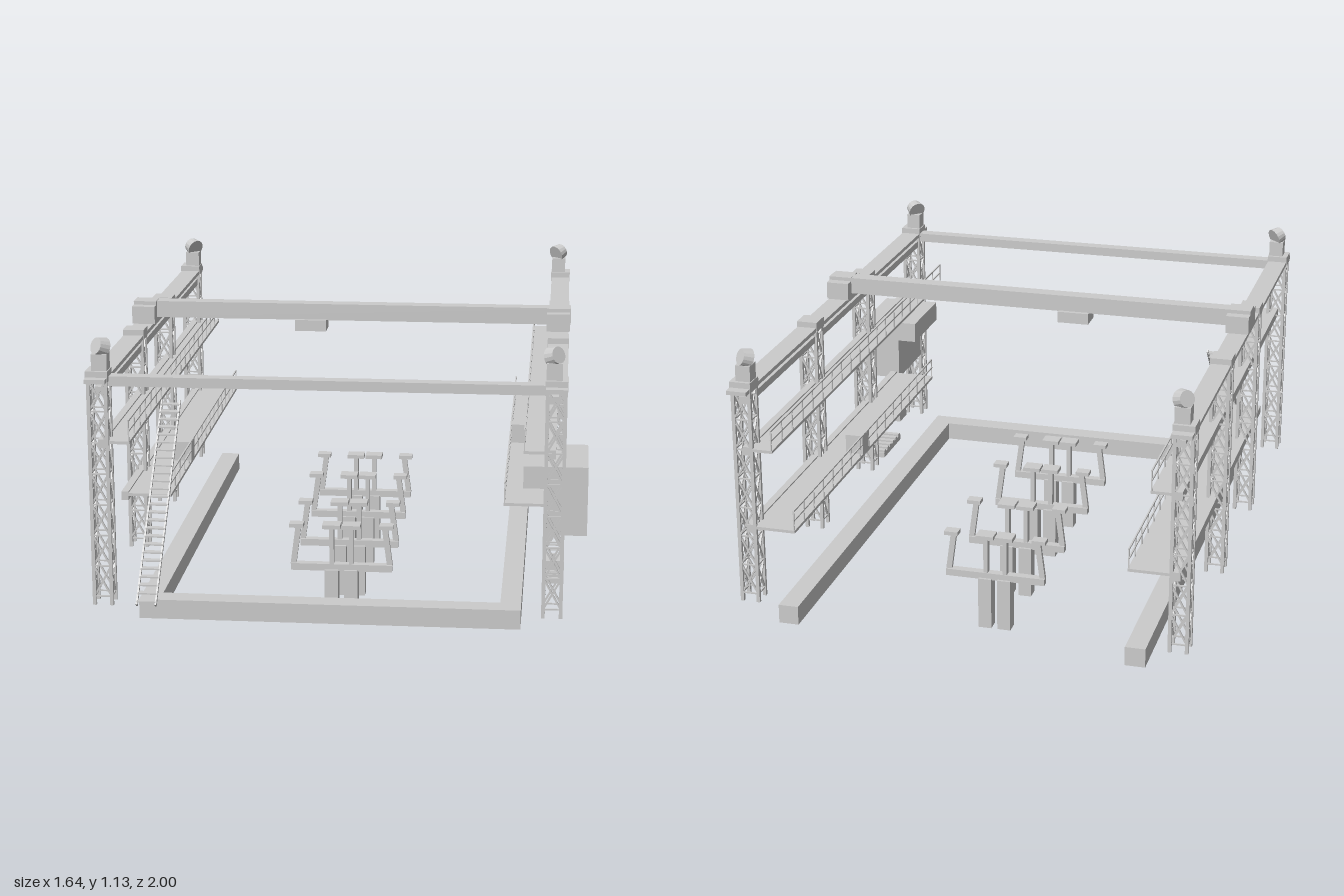
import * as THREE from 'three';

const mat = new THREE.MeshStandardMaterial({ color: 0xcccccc, flatShading: true });
const MID = -0.035; // symmetry plane of the gantry

// Box given by its min/max extents
function box(parent, name, x0, x1, y0, y1, z0, z1) {
  const m = new THREE.Mesh(new THREE.BoxGeometry(Math.abs(x1 - x0), y1 - y0, Math.abs(z1 - z0)), mat);
  m.position.set((x0 + x1) / 2, (y0 + y1) / 2, (z0 + z1) / 2);
  m.name = name;
  parent.add(m);
  return m;
}

// Square bar between two points
function bar(parent, name, a, b, w, d = w) {
  const p = new THREE.Vector3(...a), q = new THREE.Vector3(...b);
  const m = new THREE.Mesh(new THREE.BoxGeometry(w, d, p.distanceTo(q)), mat);
  m.position.copy(p).add(q).multiplyScalar(0.5);
  m.lookAt(q);
  m.name = name;
  parent.add(m);
  return m;
}

function group(parent, name) {
  const g = new THREE.Group();
  g.name = name;
  parent.add(g);
  return g;
}

// Four-legged lattice tower with cross bracing
function tower(parent, x, z) {
  const g = group(parent, 'latticeTower');
  g.position.set(x, 0, z);
  const r = 0.029, y0 = 0.217, y1 = 0.99, bays = 7, h = (y1 - y0 - 0.03) / bays;
  const c = [[-r, -r], [r, -r], [r, r], [-r, r]];
  c.forEach(([ax, az], i) => {
    const [bx, bz] = c[(i + 1) % 4];
    box(g, 'towerLeg', ax - 0.006, ax + 0.006, y0, y1, az - 0.006, az + 0.006);
    for (let k = 0; k < bays; k++) {
      const a = y0 + 0.03 + k * h, b = a + h;
      bar(g, 'brace', [ax, a, az], [bx, b, bz], 0.006);
      bar(g, 'brace', [ax, b, az], [bx, a, bz], 0.006);
      bar(g, 'strut', [ax, a, az], [bx, a, bz], 0.005);
    }
  });
  box(g, 'towerCap', -0.037, 0.037, 0.985, 1.02, -0.038, 0.038);
}

// Floodlight facing the middle of the yard
function floodlight(parent, x, z) {
  const g = group(parent, 'floodlight');
  g.position.set(x, 0, z);
  box(g, 'lampPost', -0.026, 0.026, 1.02, 1.075, -0.026, 0.026);
  const head = new THREE.Mesh(new THREE.CylinderGeometry(0.034, 0.028, 0.035, 16), mat);
  head.name = 'lampHead';
  head.position.y = 1.095;
  const dir = new THREE.Vector3(MID - x > 0 ? 1 : -1, -0.5, z > 0 ? -1 : 1).normalize();
  head.quaternion.setFromUnitVectors(new THREE.Vector3(0, 1, 0), dir);
  g.add(head);
}

// Walkway: deck, outer beam and inner handrail (u = distance from the symmetry plane)
function walkway(parent, s, y, uIn, z0, z1) {
  const g = group(parent, 'walkway'), X = u => MID + s * u, x = X(uIn + 0.003);
  box(g, 'deck', X(uIn), X(0.75), y - 0.01, y, z0, z1);
  box(g, 'deckBeam', X(0.725), X(0.75), y - 0.025, y + 0.005, z0, z1);
  for (const h of [0.036, 0.07]) bar(g, 'handrail', [x, y + h, z0], [x, y + h, z1], 0.005);
  const n = Math.round((z1 - z0) / 0.1);
  for (let i = 0; i <= n; i++) {
    const z = z0 + 0.003 + (z1 - z0 - 0.006) * i / n;
    bar(g, 'railPost', [x, y, z], [x, y + 0.072, z], 0.004);
  }
}

// One row of lifting posts
function postRow(parent, z) {
  const g = group(parent, 'postRow');
  g.position.z = z;
  for (const x of [-0.07, 0]) {
    box(g, 'pedestal', x - 0.024, x + 0.024, 0, 0.19, -0.025, 0.025);
    box(g, 'innerPost', x - 0.008, x + 0.008, 0.19, 0.345, -0.012, 0.012);
    box(g, 'innerPad', x - 0.032, x + 0.032, 0.343, 0.357, -0.028, 0.028);
  }
  box(g, 'crossArm', -0.215, 0.145, 0.185, 0.21, -0.015, 0.015);
  for (const s of [-1, 1]) {
    const X = u => MID + s * u;
    bar(g, 'outerPost', [X(0.172), 0.205, 0], [X(0.153), 0.348, 0], 0.015, 0.02);
    box(g, 'outerPad', X(0.135), X(0.185), 0.343, 0.357, -0.02, 0.02);
  }
}

export function createModel() {
  const root = new THREE.Group();
  root.name = 'gantryYard';

  // U-shaped ground beam
  const base = group(root, 'baseFrame');
  box(base, 'leftLeg', -0.675, -0.605, 0.15, 0.217, -0.963, 0.895);
  box(base, 'rightLeg', 0.54, 0.61, 0.15, 0.217, -0.963, 0.895);
  box(base, 'frontBar', -0.605, 0.54, 0.15, 0.217, 0.82, 0.895);

  // Both sides: towers, runway, walkways, lights
  for (const s of [-1, 1]) {
    const side = group(root, s < 0 ? 'rightSide' : 'leftSide');
    const X = u => MID + s * u;
    for (const z of [-0.928, -0.286, 0.29, 0.93]) tower(side, X(0.748), z);
    for (const z of [-0.928, 0.93]) floodlight(side, X(0.74), z);
    box(side, 'runwayRail', X(0.713), X(0.783), 0.986, 1, -1, 1);
    box(side, 'runwayBeam', X(0.72), X(0.755), 0.943, 0.968, -0.96, 0.96);
    walkway(side, s, 0.785, 0.645, -0.963, 0.96);
    walkway(side, s, 0.502, 0.575, -0.963, 0.605);
    // Control box on the lower walkway
    const zc = s < 0 ? 0.14 : -0.22;
    box(side, 'controlBox', X(0.575), X(0.64), 0.5, 0.572, zc - 0.033, zc + 0.033);
    // End truck of the travelling bridge
    box(side, 'bridgeTruck', X(0.705), X(0.787), 1.002, 1.065, 0, 0.14);
    box(side, 'bridgeTruckTop', X(0.705), X(0.787), 1.065, 1.078, 0.035, 0.105);
  }

  // Travelling bridge, its hoist, and the front tie beam
  box(root, 'bridgeBeam', -0.82, 0.755, 1.018, 1.077, 0.038, 0.092);
  box(root, 'hoist', -0.235, -0.122, 0.98, 1.02, 0.022, 0.108);
  box(root, 'frontTie', -0.76, 0.69, 0.967, 1, 0.9, 0.945);

  // Stairs to the upper walkway
  const stairs = group(root, 'stairs');
  for (const x of [-0.672, -0.608]) bar(stairs, 'stringer', [x, 0.217, 0.955], [x, 0.785, 0.4], 0.006, 0.012);
  for (let i = 0; i < 26; i++) {
    const t = (i + 0.5) / 26, y = 0.217 + 0.568 * t, z = 0.955 - 0.555 * t;
    box(stairs, 'tread', -0.672, -0.608, y - 0.002, y + 0.003, z - 0.012, z + 0.012);
  }

  // Cabin with an overhang above the walkway
  const cabin = group(root, 'cabin');
  box(cabin, 'cabinBody', 0.68, 0.822, 0.482, 0.715, 0.605, 0.892);
  box(cabin, 'cabinOverhang', 0.61, 0.68, 0.64, 0.715, 0.605, 0.892);

  // Small unit and slatted step beside the cabin
  box(root, 'smallUnit', 0.68, 0.75, 0.292, 0.325, 0.605, 0.685);
  box(root, 'smallUnitKnob', 0.705, 0.72, 0.325, 0.338, 0.635, 0.65);
  const step = group(root, 'slattedStep');
  box(step, 'stepPlate', 0.68, 0.75, 0.217, 0.238, 0.395, 0.605);
  for (let i = 0; i < 6; i++) box(step, 'slat', 0.68, 0.75, 0.238, 0.246, 0.4 + i * 0.035, 0.42 + i * 0.035);

  for (const z of [-0.505, -0.218, 0.142, 0.427]) postRow(root, z);
  return root;
}
